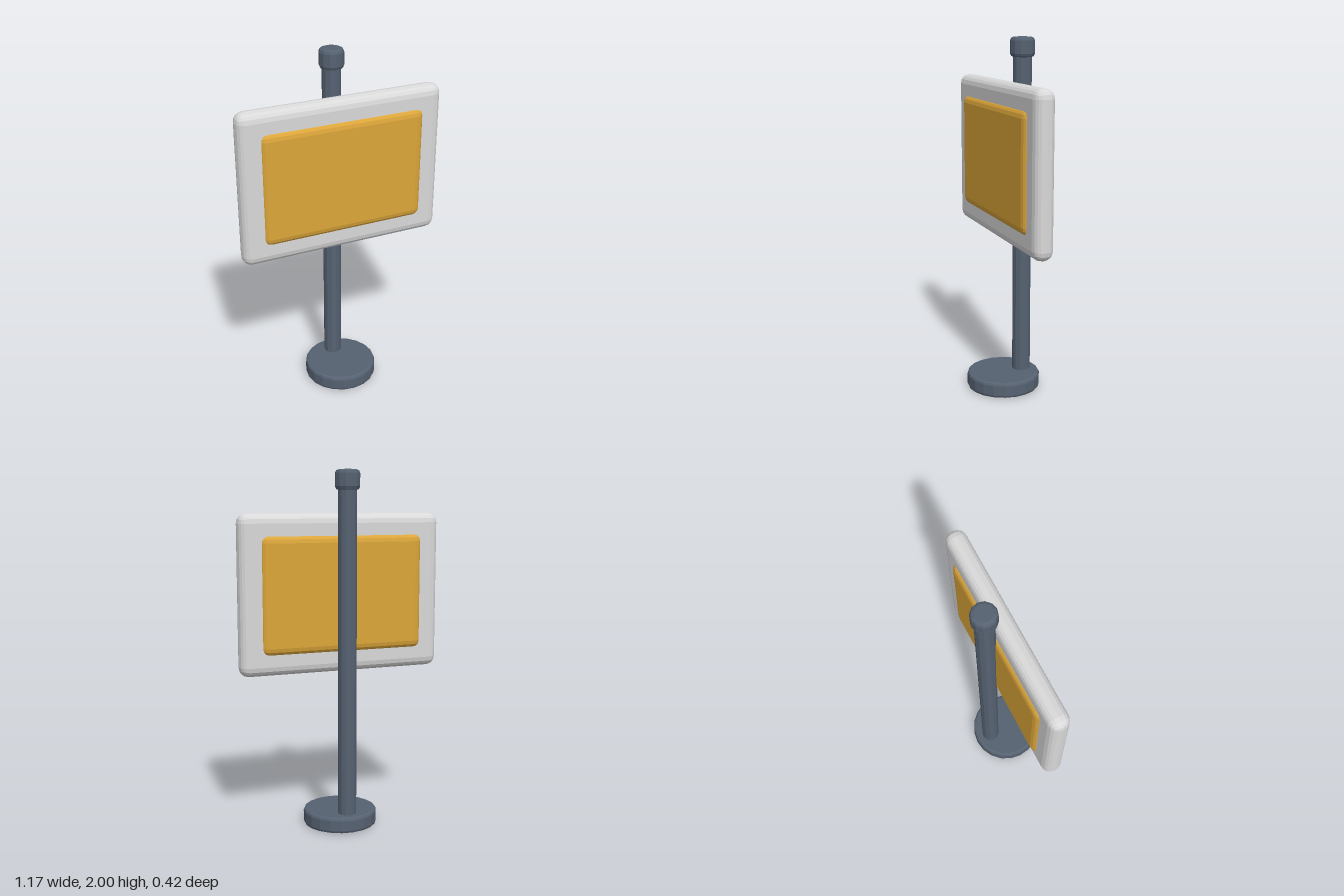
import * as THREE from 'three';
import { RoundedBoxGeometry } from 'three/addons/geometries/RoundedBoxGeometry.js';

// Faceted shading for any geometry
function facet(geometry) {
  const g = geometry.index ? geometry.toNonIndexed() : geometry;
  g.computeVertexNormals();
  return g;
}

// Upright disc or post with chamfered rims
function chamferedPost(radius, bottom, top, bevel, sides) {
  const profile = [
    [0, bottom], [radius - bevel, bottom],
    [radius - bevel * 0.3, bottom + bevel * 0.3], [radius, bottom + bevel],
    [radius, top - bevel], [radius - bevel * 0.3, top - bevel * 0.3],
    [radius - bevel, top], [0, top],
  ].map(([x, y]) => new THREE.Vector2(x, y));
  return facet(new THREE.LatheGeometry(profile, sides));
}

export function createModel() {
  const slate = new THREE.MeshStandardMaterial({ color: 0x566272 });
  const paleGrey = new THREE.MeshStandardMaterial({ color: 0xd9d9d9 });
  const amber = new THREE.MeshStandardMaterial({ color: 0xdca63a });

  const model = new THREE.Group();
  model.name = 'signPost';
  const add = (name, geometry, material, y = 0, z = 0) => {
    const mesh = new THREE.Mesh(geometry, material);
    mesh.name = name;
    mesh.position.set(0, y, z);
    model.add(mesh);
  };

  // Base, pole and cap; the pole stands behind the board
  const poleZ = -0.112;
  add('base', chamferedPost(0.209, 0, 0.09, 0.016, 20), slate);
  add('pole', facet(new THREE.CylinderGeometry(0.052, 0.052, 1.86, 12)), slate, 1.0, poleZ);
  add('cap', chamferedPost(0.068, 1.89, 2, 0.02, 12), slate, 0, poleZ);

  // Rounded board with a raised panel showing on both sides
  add('boardFrame', facet(new RoundedBoxGeometry(1.172, 0.878, 0.114, 2, 0.054)), paleGrey, 1.33);
  add('boardPanel', facet(new RoundedBoxGeometry(0.948, 0.656, 0.15, 2, 0.046)), amber, 1.329);

  return model;
}
